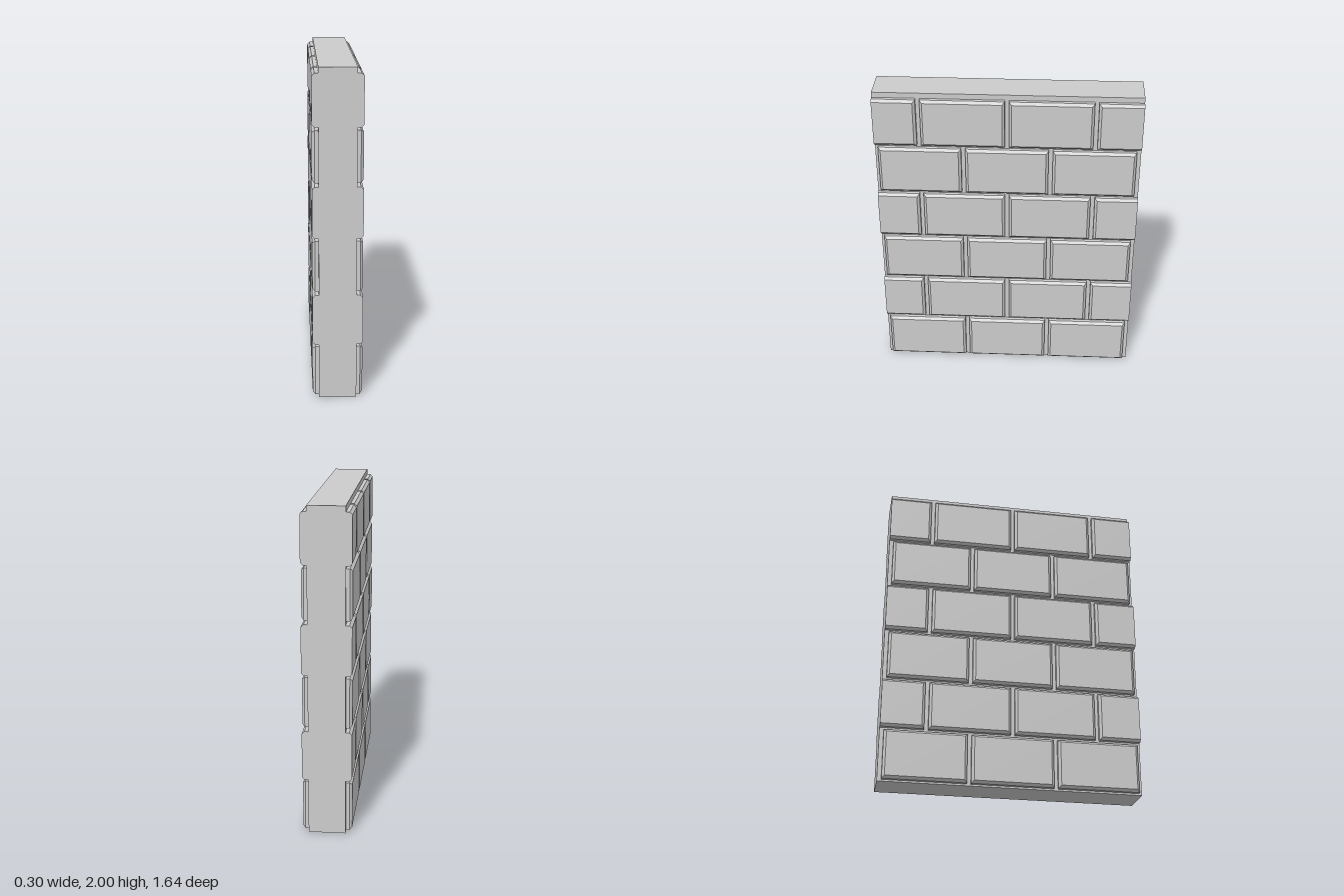
import * as THREE from 'three';

const HALF_CORE = 0.112, HALF_LENGTH = 0.82, HEIGHT = 2;
const OUT = 0.038, CHAMFER = 0.016;
const BRICK_H = 0.31, BRICK_L = 0.514;
const ROW_PITCH = 0.329, BRICK_PITCH = 0.54;

// One brick face standing out towards +x, chamfered on its outer edges
// and cut flush where it runs past the end of the wall.
function brickGeometry(zCentre) {
  const geo = new THREE.BoxGeometry(OUT, BRICK_H, BRICK_L, 2, 1, 1);
  const p = geo.attributes.position;
  for (let i = 0; i < p.count; i++) {
    let x = p.getX(i), y = p.getY(i), z = p.getZ(i);
    if (Math.abs(x) < 1e-6) {
      x = OUT / 2 - CHAMFER;
    } else if (x > 0) {
      y -= Math.sign(y) * CHAMFER;
      z -= Math.sign(z) * CHAMFER;
    }
    z = THREE.MathUtils.clamp(z + zCentre, -HALF_LENGTH, HALF_LENGTH);
    p.setXYZ(i, x + HALF_CORE + OUT / 2, y, z);
  }
  const flat = geo.toNonIndexed();
  flat.computeVertexNormals();
  return flat;
}

export function createModel() {
  const wall = new THREE.Group();
  wall.name = 'brickWall';
  const material = new THREE.MeshStandardMaterial({ color: 0xcccccc, flatShading: true });

  // Mortar core
  const core = new THREE.Mesh(
    new THREE.BoxGeometry(HALF_CORE * 2, HEIGHT, HALF_LENGTH * 2), material);
  core.name = 'mortarCore';
  core.position.y = HEIGHT / 2;
  wall.add(core);

  // Staggered courses: three whole bricks, or two whole and two cut ones
  const courses = [[-1, 0, 1], [-1.5, -0.5, 0.5, 1.5]]
    .map(row => row.map(k => brickGeometry(0.003 + k * BRICK_PITCH)));

  for (const side of ['left', 'right']) {
    const face = new THREE.Group();
    face.name = side + 'Bricks';
    for (let row = 0; row < 6; row++) {
      for (const geo of courses[row % 2]) {
        const brick = new THREE.Mesh(geo, material);
        brick.name = 'brick';
        brick.position.y = 0.011 + BRICK_H / 2 + row * ROW_PITCH;
        // Half turn about z keeps the stagger the same on both sides
        if (side === 'right') brick.rotation.z = Math.PI;
        face.add(brick);
      }
    }
    wall.add(face);
  }
  return wall;
}
